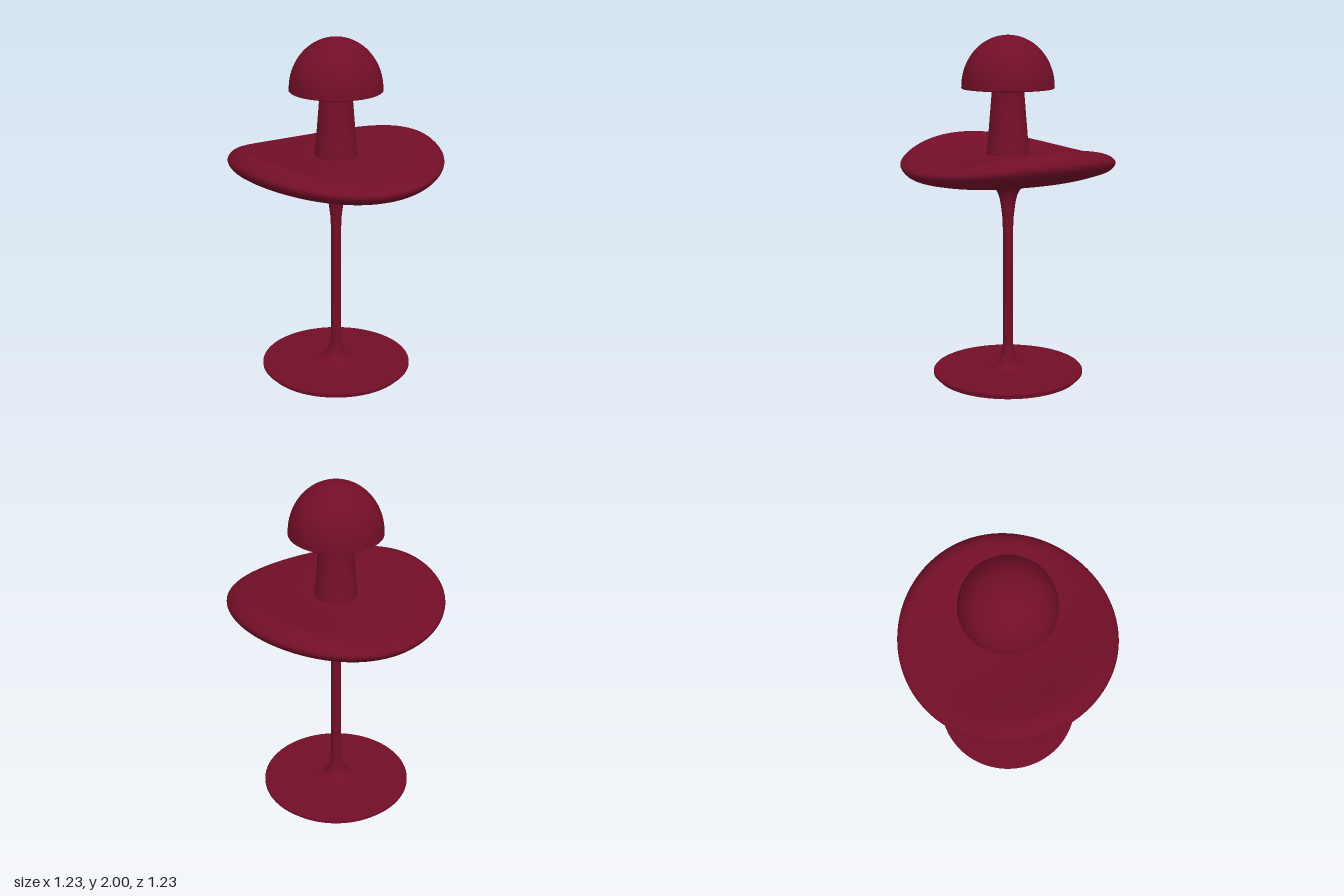
import * as THREE from 'three';
import { toCreasedNormals } from 'three/addons/utils/BufferGeometryUtils.js';

const red = new THREE.MeshStandardMaterial({ color: 0x720e27 });
red.name = 'deep red';

// Smooth a short list of [radius, y] points into a denser profile
const smooth = (pts, n) =>
  new THREE.SplineCurve(pts.map(([r, y]) => new THREE.Vector2(r, y))).getPoints(n)
    .map((p) => new THREE.Vector2(Math.max(p.x, 0), p.y));

const vec = (pts) => pts.map(([r, y]) => new THREE.Vector2(r, y));

function part(name, geometry) {
  const mesh = new THREE.Mesh(toCreasedNormals(geometry, 0.6), red);
  mesh.name = name;
  return mesh;
}

const turned = (name, profile, sides = 64) => part(name, new THREE.LatheGeometry(profile, sides));

// Saddle seat: the section along x blends into the section along z around the circle
function seatGeometry() {
  const rows = [ // radius, height along x, height along z
    [0, 1.155, 1.155], [0.1, 1.155, 1.155], [0.2, 1.162, 1.157], [0.3, 1.177, 1.162],
    [0.4, 1.2, 1.17], [0.5, 1.237, 1.188], [0.57, 1.27, 1.208], [0.603, 1.298, 1.234],
    [0.615, 1.33, 1.258], [0.603, 1.358, 1.277], [0.57, 1.388, 1.292], [0.52, 1.399, 1.303],
    [0.45, 1.385, 1.312], [0.35, 1.36, 1.32], [0.25, 1.342, 1.325], [0.12, 1.331, 1.329],
    [0, 1.33, 1.33],
  ];
  const n = 64, sides = 96;
  const alongX = smooth(rows.map(([r, y]) => [r, y]), n);
  const curveX = new THREE.SplineCurve(vec(rows.map(([r, y]) => [r, y])));
  const curveZ = new THREE.SplineCurve(vec(rows.map(([r, , y]) => [r, y])));
  const geometry = new THREE.LatheGeometry(alongX, sides);
  const pos = geometry.attributes.position;
  for (let i = 0; i < pos.count; i++) {
    const t = (i % (n + 1)) / n;
    const angle = (Math.floor(i / (n + 1)) / sides) * Math.PI * 2;
    const w = Math.sin(angle) ** 2; // 1 along x, 0 along z
    pos.setY(i, THREE.MathUtils.lerp(curveZ.getPoint(t).y, curveX.getPoint(t).y, w));
  }
  return geometry;
}

export function createModel() {
  const group = new THREE.Group();
  group.name = 'saddleSeatStool';

  // Round foot plate with a recessed lower lip
  group.add(turned('footPlate', vec([
    [0, 0.005], [0.395, 0.005], [0.395, 0], [0.415, 0], [0.415, 0.02], [0.435, 0.02],
    [0.44, 0.025], [0.44, 0.038], [0.435, 0.044], [0, 0.044],
  ]), 96));

  // Slender stem flaring into the foot and the seat
  group.add(turned('stem', [
    ...smooth([[0.13, 0.043], [0.095, 0.052], [0.062, 0.08], [0.04, 0.13], [0.031, 0.19]], 20),
    ...smooth([[0.03, 0.22], [0.03, 0.5], [0.03, 0.88], [0.038, 1.0], [0.052, 1.08],
      [0.075, 1.125], [0.105, 1.148], [0.15, 1.162]], 36),
  ], 48));

  group.add(part('seat', seatGeometry()));

  // Tapered post with a small collar under the cap
  group.add(turned('post', vec([
    [0.122, 1.3], [0.122, 1.345], [0.119, 1.355], [0.092, 1.685], [0.1, 1.694], [0.1, 1.71],
  ]), 48));

  // Domed headrest cap with a flat underside
  const dome = [];
  for (let i = 0; i <= 24; i++) {
    const a = (i / 24) * Math.PI / 2;
    dome.push([i === 24 ? 0 : 0.264 * Math.cos(a), 1.712 + 0.288 * Math.sin(a)]);
  }
  group.add(turned('cap', vec([[0, 1.7], [0.26, 1.7], [0.265, 1.704], ...dome])));

  return group;
}
